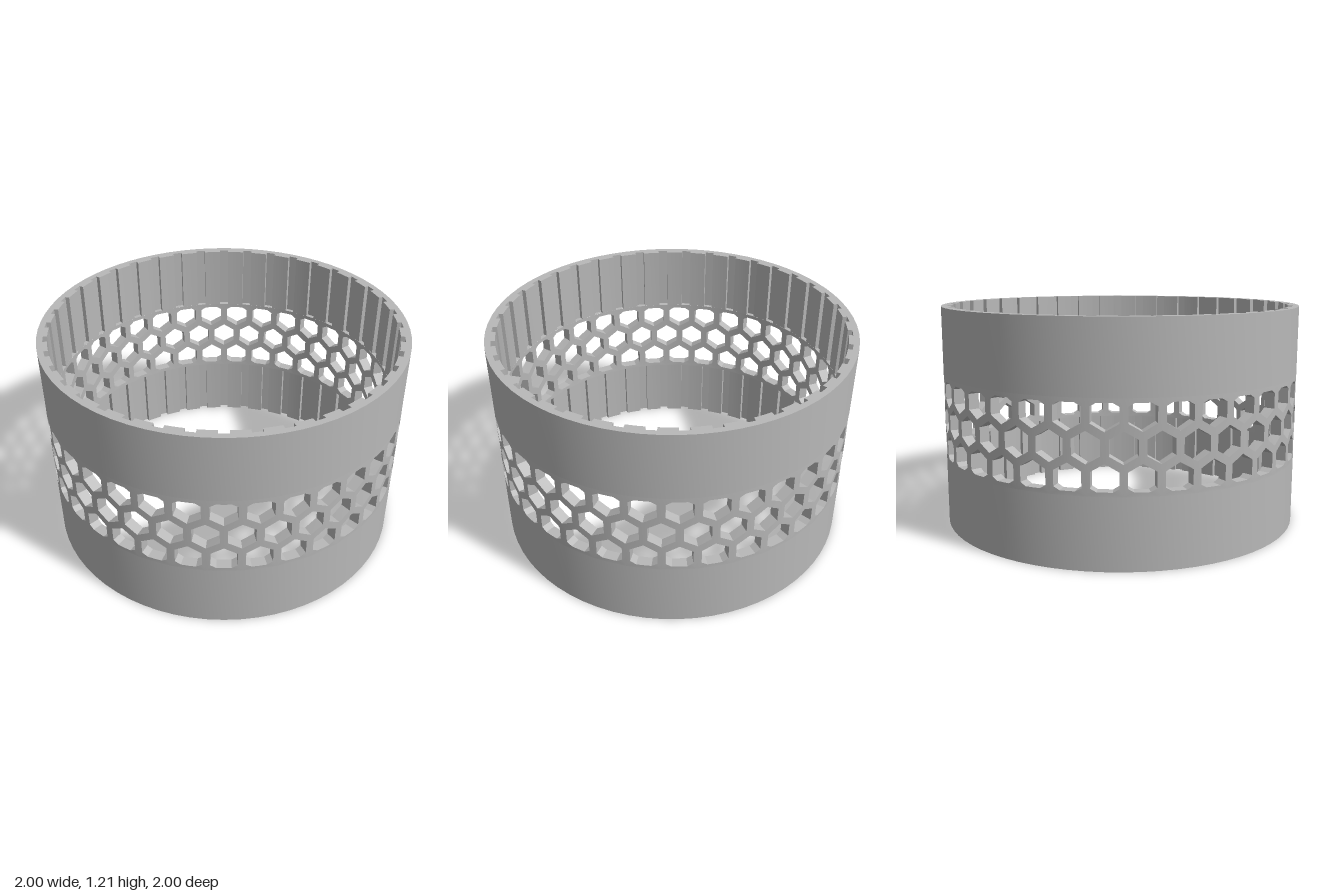
import * as THREE from 'three';
import { toCreasedNormals } from 'three/addons/utils/BufferGeometryUtils.js';

const HEIGHT = 1.214, MID = HEIGHT / 2;
const OUTER = 1, INNER = 0.943, GROOVE = 0.967;
const HEXES = 35, GROOVES = 40;
const BAND = 0.235;                       // half height of the perforated band
const STEP = Math.PI / HEXES;             // half of one honeycomb period

// Plain ring with vertical grooves cut into its inner wall
function groovedRing(depth) {
  const at = (a, r) => new THREE.Vector2(r * Math.cos(a), r * Math.sin(a));
  const outer = [], inner = [];
  for (let i = 0; i < HEXES * 2; i++) outer.push(at(-Math.PI / 2 + i * STEP, OUTER));
  const pitch = (2 * Math.PI) / GROOVES, half = 0.028;
  for (let i = 0; i < GROOVES; i++) {
    const a = i * pitch;
    inner.push(at(a - half, GROOVE), at(a + half, GROOVE));
    for (let j = 0; j <= 3; j++) inner.push(at(a + half + ((pitch - 2 * half) * j) / 3, INNER));
  }
  const shape = new THREE.Shape(outer);
  shape.holes.push(new THREE.Path(inner));
  const geo = new THREE.ExtrudeGeometry(shape, { depth, bevelEnabled: false });
  geo.rotateX(-Math.PI / 2);
  return toCreasedNormals(geo, 0.4);
}

// Honeycomb band: half a period is outlined flat, then mirrored and wrapped round
function honeycombBand() {
  const w = STEP, R = 0.08, h = R * Math.sqrt(3) / 2, row = w * Math.sqrt(3);
  const clip = 0.213, k = (row + R - clip) * Math.sqrt(3);
  const outline = [
    [0, -BAND], [w, -BAND], [w, -clip], [w - k, -clip], [w - h, -row - R / 2],
    [w - h, -row + R / 2], [w, -row + R], [w, row - R], [w - h, row - R / 2],
    [w - h, row + R / 2], [w - k, clip], [w, clip], [w, BAND], [0, BAND],
    [0, R], [h, R / 2], [h, -R / 2], [0, -R],
  ].map(([u, y]) => new THREE.Vector2(u, y));
  const faces = THREE.ShapeUtils.triangulateShape(outline, []);
  const pos = [];

  for (let i = 0; i < HEXES; i++) {
    for (const side of [1, -1]) {
      const put = (p, r) => {
        const a = i * 2 * STEP + side * p.x;
        return [r * Math.sin(a), MID + p.y, r * Math.cos(a)];
      };
      const tri = (a, b, c, flip) => pos.push(...a, ...(flip ? c : b), ...(flip ? b : c));
      const mirrored = side < 0;
      // outer and inner skins
      for (const [a, b, c] of faces) {
        for (const r of [OUTER, INNER]) {
          tri(put(outline[a], r), put(outline[b], r), put(outline[c], r), mirrored !== (r === INNER));
        }
      }
      // walls of the hexagonal holes
      outline.forEach((p, n) => {
        const q = outline[(n + 1) % outline.length];
        const seam = p.x === q.x && (p.x === 0 || p.x === w);
        const rim = p.y === q.y && Math.abs(p.y) === BAND;
        if (seam || rim) return;
        const a = put(p, INNER), b = put(q, INNER), c = put(q, OUTER), d = put(p, OUTER);
        tri(a, b, c, mirrored);
        tri(a, c, d, mirrored);
      });
    }
  }
  const geo = new THREE.BufferGeometry();
  geo.setAttribute('position', new THREE.Float32BufferAttribute(pos, 3));
  return toCreasedNormals(geo, 0.4);
}

export function createModel() {
  const group = new THREE.Group();
  const grey = new THREE.MeshStandardMaterial({ color: 0xb8b8b8 });
  grey.name = 'light grey';
  const add = (name, geo, y) => {
    const mesh = new THREE.Mesh(geo, grey);
    mesh.name = name;
    mesh.position.y = y;
    group.add(mesh);
    return mesh;
  };

  const collar = groovedRing(MID - BAND);
  add('lowerCollar', collar, 0);
  add('upperCollar', collar, MID + BAND);
  add('honeycombBand', honeycombBand(), 0);

  // closed ends of the grooves
  const ledge = new THREE.RingGeometry(INNER, OUTER - 0.01, HEXES * 2);
  add('upperGrooveEnds', ledge, MID + BAND).rotation.x = -Math.PI / 2;
  add('lowerGrooveEnds', ledge, MID - BAND).rotation.x = Math.PI / 2;
  return group;
}
